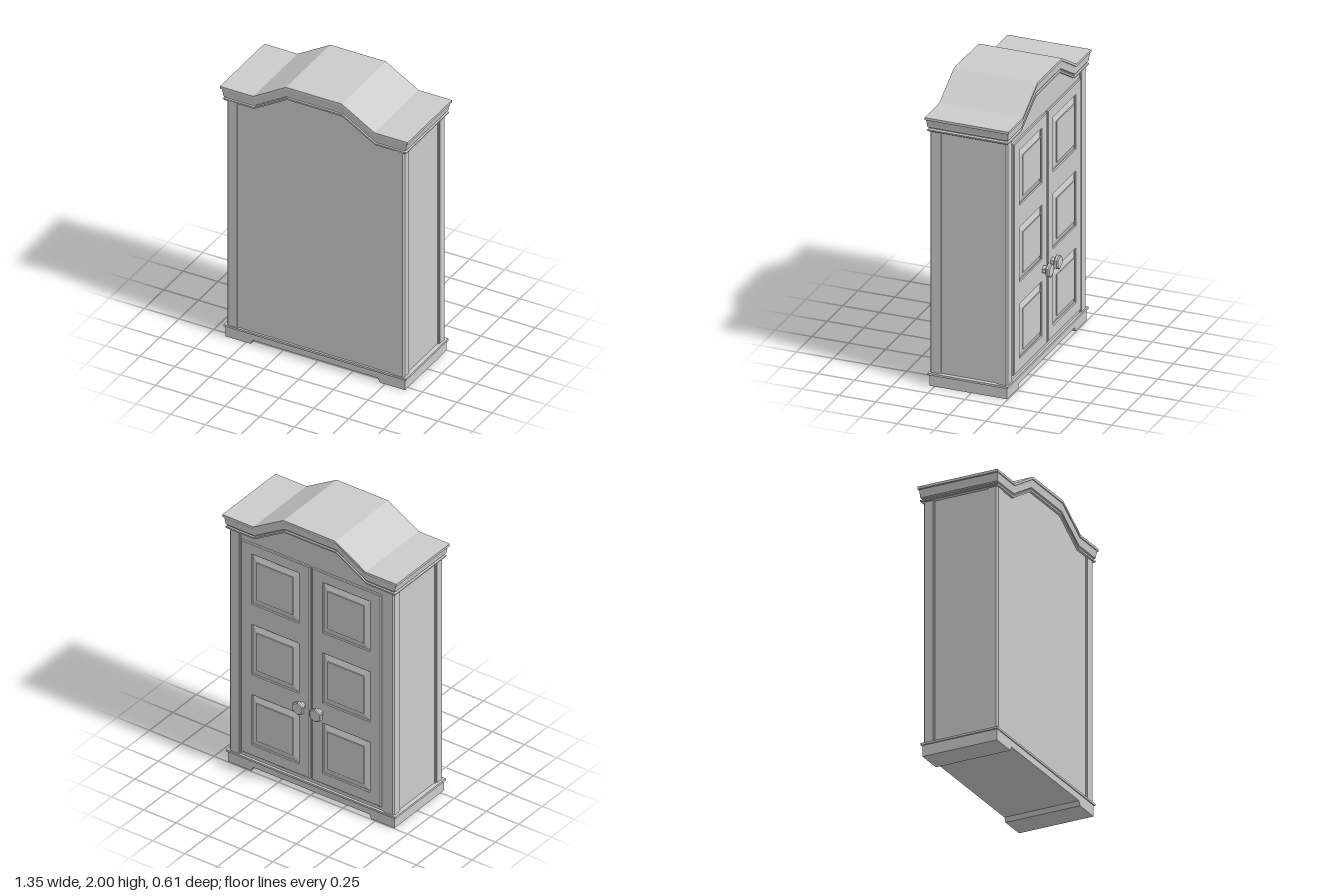
import * as THREE from 'three';

const material = new THREE.MeshStandardMaterial({ color: 0xcccccc, flatShading: true });

// Half-profile of the arched top: knee and shoulder positions
const KNEE = 0.435, SHOULDER = 0.2, END_Y = 1.86, TOP_Y = 2;
const POST_BOTTOM = 0.09, POST_TOP = 1.766;

function add(parent, name, geometry, x = 0, y = 0, z = 0) {
  const mesh = new THREE.Mesh(geometry, material);
  mesh.name = name;
  mesh.position.set(x, y, z);
  parent.add(mesh);
  return mesh;
}

function box(parent, name, x0, x1, y0, y1, z0, z1) {
  return add(parent, name, new THREE.BoxGeometry(x1 - x0, y1 - y0, z1 - z0),
    (x0 + x1) / 2, (y0 + y1) / 2, (z0 + z1) / 2);
}

function polygon(points) {
  return new THREE.Shape(points.map(([x, y]) => new THREE.Vector2(x, y)));
}

function extrude(points, depth) {
  return new THREE.ExtrudeGeometry(polygon(points), { depth, bevelEnabled: false });
}

// Box whose -z face is smaller than its +z face
function taperedBox(w, h, d, innerW, innerH) {
  const geometry = new THREE.BoxGeometry(w, h, d);
  const p = geometry.attributes.position;
  for (let i = 0; i < p.count; i++) {
    if (p.getZ(i) < 0) p.setXY(i, Math.sign(p.getX(i)) * innerW / 2, Math.sign(p.getY(i)) * innerH / 2);
  }
  geometry.computeVertexNormals();
  return geometry;
}

// Moulding rings around the footprint, each following the arch
function corniceGeometry() {
  // [overhang, drop below the arch], from bottom to top
  const profile = [[-0.03, 0.1], [0.013, 0.1], [0.017, 0.096], [0.017, 0.088], [0.012, 0.084],
    [0.004, 0.082], [0.004, 0.076], [0.016, 0.072], [0.018, 0.055], [0.024, 0.024],
    [0.026, 0.019], [0.035, 0.017], [0.035, 0]];
  const rings = profile.map(([o, drop]) => {
    const X = 0.64 + o, Z = 0.265 + o * 0.57;
    const xs = [-X, -KNEE, -SHOULDER, SHOULDER, KNEE, X];
    const at = (x, z) => [x, (Math.abs(x) === SHOULDER ? TOP_Y : END_Y) - drop, 0.02 + z];
    return [...xs.map(x => at(x, Z)), ...xs.reverse().map(x => at(x, -Z))];
  });
  const v = [];
  const quad = (a, b, c, d) => v.push(...a, ...b, ...c, ...a, ...c, ...d);
  for (let k = 0; k < rings.length - 1; k++) {
    for (let i = 0; i < 12; i++) {
      const j = (i + 1) % 12;
      quad(rings[k][i], rings[k][j], rings[k + 1][j], rings[k + 1][i]);
    }
  }
  const top = rings[rings.length - 1];
  for (let i = 0; i < 5; i++) quad(top[i], top[i + 1], top[10 - i], top[11 - i]);
  const geometry = new THREE.BufferGeometry();
  geometry.setAttribute('position', new THREE.Float32BufferAttribute(v, 3));
  geometry.computeVertexNormals();
  return geometry;
}

function createDoor(name, x) {
  const door = new THREE.Group();
  door.name = name;
  const w = 0.268, y0 = 0.12, y1 = 1.715;
  const panelW = 0.36, panelH = 0.37, fieldW = 0.28, fieldH = 0.28;
  const rows = [0.39, 0.92, 1.45];

  // Frame with three openings
  const shape = polygon([[-w, y0], [w, y0], [w, y1], [-w, y1]]);
  for (const y of rows) {
    const a = panelW / 2, b = panelH / 2;
    shape.holes.push(polygon([[-a, y - b], [-a, y + b], [a, y + b], [a, y - b]]));
  }
  const bevel = 0.005;
  const frame = new THREE.ExtrudeGeometry(shape, {
    depth: 0.01, bevelThickness: bevel, bevelSize: bevel, bevelOffset: -bevel, bevelSegments: 1,
  });
  add(door, 'doorFrame', frame, 0, 0, -0.25 + bevel);

  // Bevelled panels with a raised field
  for (const y of rows) {
    add(door, 'panelBevel', taperedBox(panelW + 0.01, panelH + 0.01, 0.014, fieldW + 0.01, fieldH + 0.01), 0, y, -0.244);
    add(door, 'panelField', new THREE.BoxGeometry(fieldW, fieldH, 0.016), 0, y, -0.249);
  }
  door.position.x = x;
  return door;
}

function createKnob(x) {
  const profile = [[0.028, 0], [0.028, 0.026], [0.04, 0.028], [0.05, 0.035], [0.05, 0.05], [0.042, 0.057], [0, 0.057]]
    .map(([r, h]) => new THREE.Vector2(r, h));
  const knob = new THREE.Mesh(new THREE.LatheGeometry(profile, 6), material);
  knob.name = 'doorKnob';
  knob.rotation.x = -Math.PI / 2;
  knob.position.set(x, 0.653, -0.248);
  return knob;
}

export function createModel() {
  const wardrobe = new THREE.Group();
  wardrobe.name = 'wardrobe';

  // Plinth with a cut-out that leaves two feet
  const plinth = [[-0.645, 0], [-0.465, 0], [-0.45, 0.03], [0.45, 0.03], [0.465, 0],
    [0.645, 0], [0.645, 0.078], [-0.645, 0.078]];
  add(wardrobe, 'plinth', extrude(plinth, 0.53), 0, 0, -0.245);
  box(wardrobe, 'plinthLedge', -0.655, 0.655, 0.076, POST_BOTTOM, -0.252, 0.292);

  // Carcass rising into the arch
  const drop = 0.09;
  const carcass = [[-0.625, 0.08], [0.625, 0.08], [0.625, END_Y - drop], [KNEE, END_Y - drop],
    [SHOULDER, TOP_Y - drop], [-SHOULDER, TOP_Y - drop], [-KNEE, END_Y - drop], [-0.625, END_Y - drop]];
  add(wardrobe, 'carcass', extrude(carcass, 0.513), 0, 0, -0.235);

  // Corner posts with a chamfered outer edge and a slim bead on each side
  const height = POST_TOP - POST_BOTTOM, c = 0.01;
  for (const sx of [-1, 1]) {
    for (const [sz, zIn, zOut] of [[1, 0.22, 0.285], [-1, -0.175, -0.243]]) {
      let section = [[sx * 0.562, zIn], [sx * 0.638, zIn], [sx * 0.638, zOut - sz * c],
        [sx * (0.638 - c), zOut], [sx * 0.562, zOut]].map(([x, z]) => [x, -z]);
      const post = add(wardrobe, 'cornerPost', extrude(section, height), 0, POST_BOTTOM, 0);
      post.rotation.x = -Math.PI / 2;
      const xa = sx * 0.552, xb = sx * 0.57, za = zIn - sz * 0.01, zb = zIn + sz * 0.01;
      const face = zOut - sz * 0.004;
      box(wardrobe, 'faceBead', Math.min(xa, xb), Math.max(xa, xb), POST_BOTTOM, POST_TOP,
        Math.min(face, zIn), Math.max(face, zIn));
      box(wardrobe, 'sideBead', Math.min(sx * 0.6, sx * 0.632), Math.max(sx * 0.6, sx * 0.632),
        POST_BOTTOM, POST_TOP, Math.min(za, zb), Math.max(za, zb));
    }
  }

  // Arched cornice
  add(wardrobe, 'cornice', corniceGeometry());

  // Doors and knobs
  wardrobe.add(createDoor('leftDoor', 0.275), createDoor('rightDoor', -0.275));
  wardrobe.add(createKnob(0.065), createKnob(-0.07));

  return wardrobe;
}
